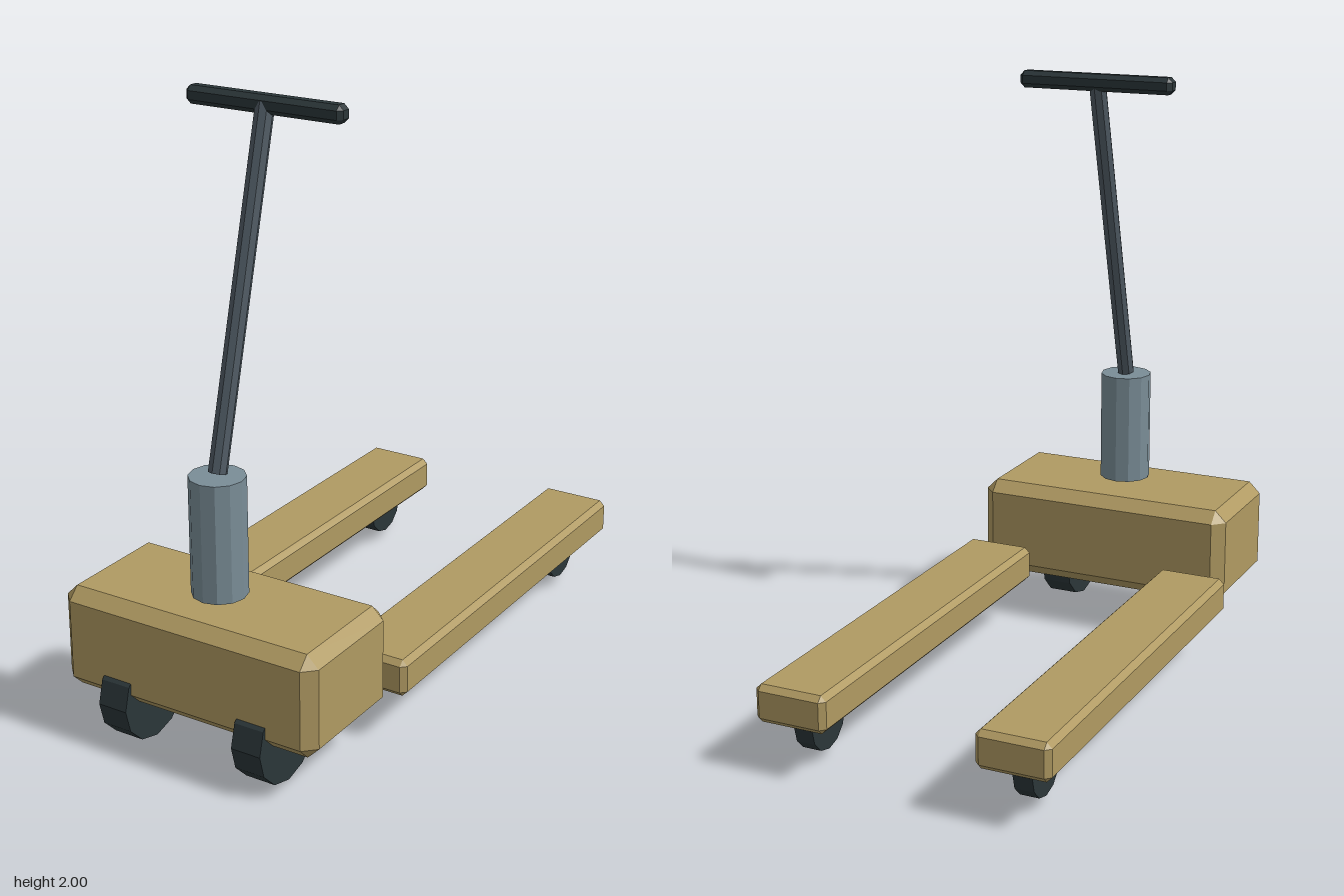
import * as THREE from 'three';
import { ConvexGeometry } from 'three/addons/geometries/ConvexGeometry.js';

const paint = (color) => new THREE.MeshStandardMaterial({ color, flatShading: true });
const tan = paint(0xb09a62);
const steel = paint(0x7a8d97);
const darkSteel = paint(0x4e5962);
const rubber = paint(0x2b3639);

// Box with every edge cut flat by c: each corner becomes three points
function chamferBox(w, h, d, c) {
  const points = [];
  for (const sx of [-1, 1]) for (const sy of [-1, 1]) for (const sz of [-1, 1]) {
    for (let axis = 0; axis < 3; axis++) {
      const inset = [c, c, c];
      inset[axis] = 0;
      points.push(new THREE.Vector3(
        sx * (w / 2 - inset[0]), sy * (h / 2 - inset[1]), sz * (d / 2 - inset[2])));
    }
  }
  return new ConvexGeometry(points);
}

export function createModel() {
  const group = new THREE.Group();
  const add = (name, geometry, material, x, y, z) => {
    const mesh = new THREE.Mesh(geometry, material);
    mesh.name = name;
    mesh.position.set(x, y, z);
    group.add(mesh);
    return mesh;
  };

  // Power unit and steering column
  add('body', chamferBox(0.925, 0.34, 0.44, 0.04), tan, 0, 0.33, 0.73);
  add('column', new THREE.CylinderGeometry(0.089, 0.089, 0.385, 12), steel, 0, 0.71, 0.745);

  // Tiller leaning back over the forks
  const foot = new THREE.Vector3(0, 0.91, 0.742);
  const head = new THREE.Vector3(0, 1.975, 0.462);
  const mid = foot.clone().add(head).multiplyScalar(0.5);
  const tiller = add('tiller', new THREE.CylinderGeometry(0.03, 0.03, foot.distanceTo(head), 8),
    darkSteel, mid.x, mid.y, mid.z);
  tiller.rotation.x = Math.atan2(head.z - foot.z, head.y - foot.y);
  add('handle', chamferBox(0.55, 0.057, 0.058, 0.015), rubber, 0, 1.9715, 0.46);

  // Forks and wheels on each side
  for (const [side, s] of [['left', 1], ['right', -1]]) {
    add(side + 'Fork', chamferBox(0.245, 0.125, 1.455, 0.018), tan, s * 0.372, 0.226, -0.2525);
    const wheel = (name, r, width, x, y, z) => {
      const geometry = new THREE.CylinderGeometry(r, r, width, 12).rotateZ(Math.PI / 2);
      add(name, geometry, rubber, s * x, y, z);
    };
    wheel(side + 'DriveWheel', 0.152, 0.103, 0.248, 0.154, 0.828);
    wheel(side + 'ForkWheel', 0.097, 0.064, 0.371, 0.13, -0.805);
  }
  return group;
}
